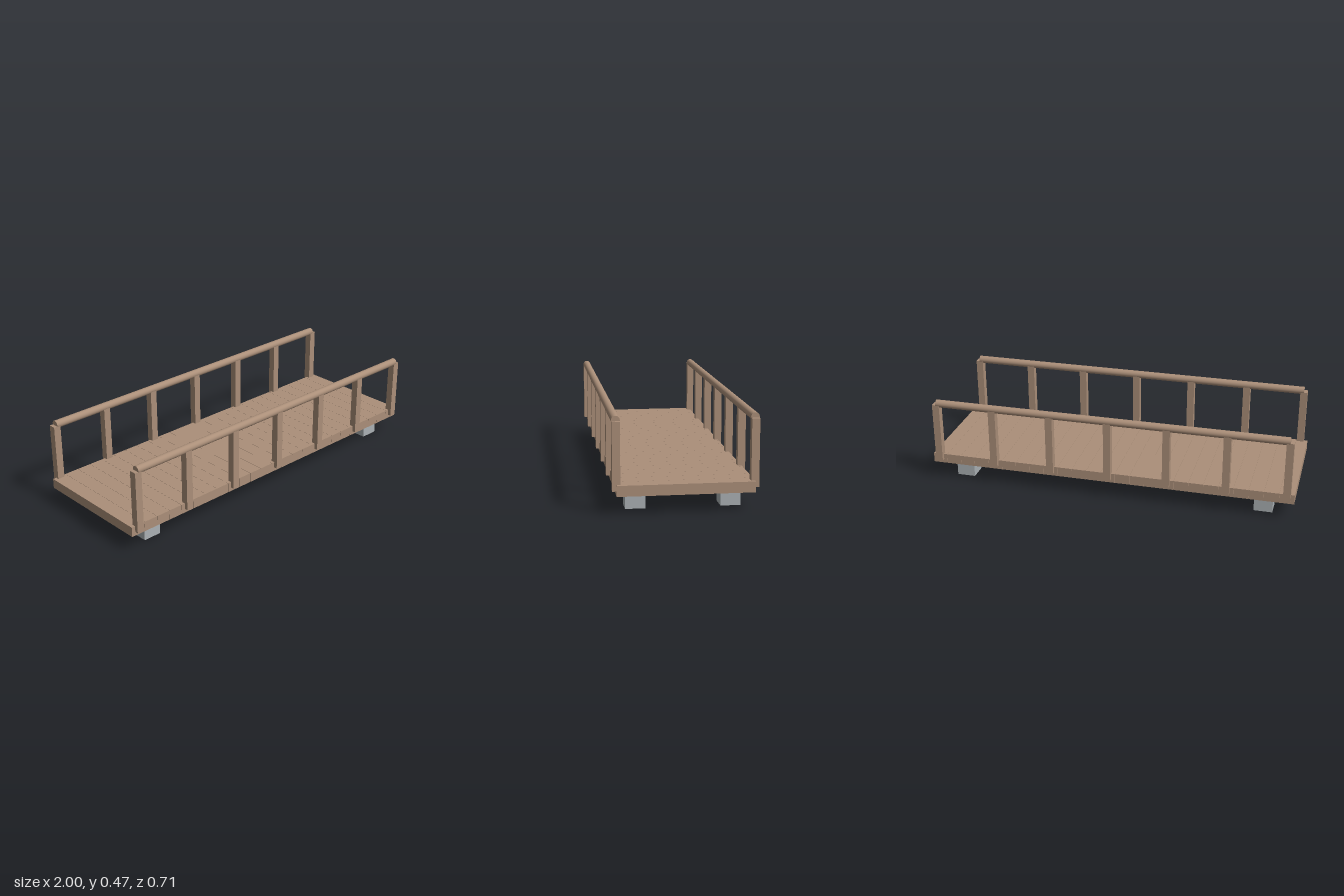
import * as THREE from 'three';

export function createModel() {
  const model = new THREE.Group();
  model.name = 'footbridge';

  const wood = new THREE.MeshStandardMaterial({ color: 0xab8f79 });
  wood.name = 'wood';
  const stone = new THREE.MeshStandardMaterial({ color: 0xabb1b4 });
  stone.name = 'stone';

  const add = (name, geometry, material, x, y, z) => {
    const mesh = new THREE.Mesh(geometry, material);
    mesh.name = name;
    mesh.position.set(x, y, z);
    model.add(mesh);
    return mesh;
  };

  // Deck of planks laid across the span, with hairline gaps
  const plank = new THREE.BoxGeometry(0.079, 0.053, 0.666);
  for (let i = -12; i <= 12; i++) add('plank', plank, wood, i * 0.08, 0.1175, 0);

  // Railings, mirrored front and back
  const post = new THREE.BoxGeometry(0.039, 0.333, 0.039);
  const rail = new THREE.CylinderGeometry(0.021, 0.021, 1.92, 24);
  rail.rotateZ(Math.PI / 2);
  for (const side of [-1, 1]) {
    for (let i = -3; i <= 3; i++) add('railPost', post, wood, i * 0.32, 0.2785, side * 0.333);
    add('handrail', rail, wood, 0, 0.45, side * 0.333);
  }

  // Foundation blocks under the four corners
  const block = new THREE.BoxGeometry(0.1, 0.091, 0.1);
  for (const sx of [-1, 1]) {
    for (const sz of [-1, 1]) add('foundationBlock', block, stone, sx * 0.835, 0.0455, sz * 0.233);
  }

  return model;
}
